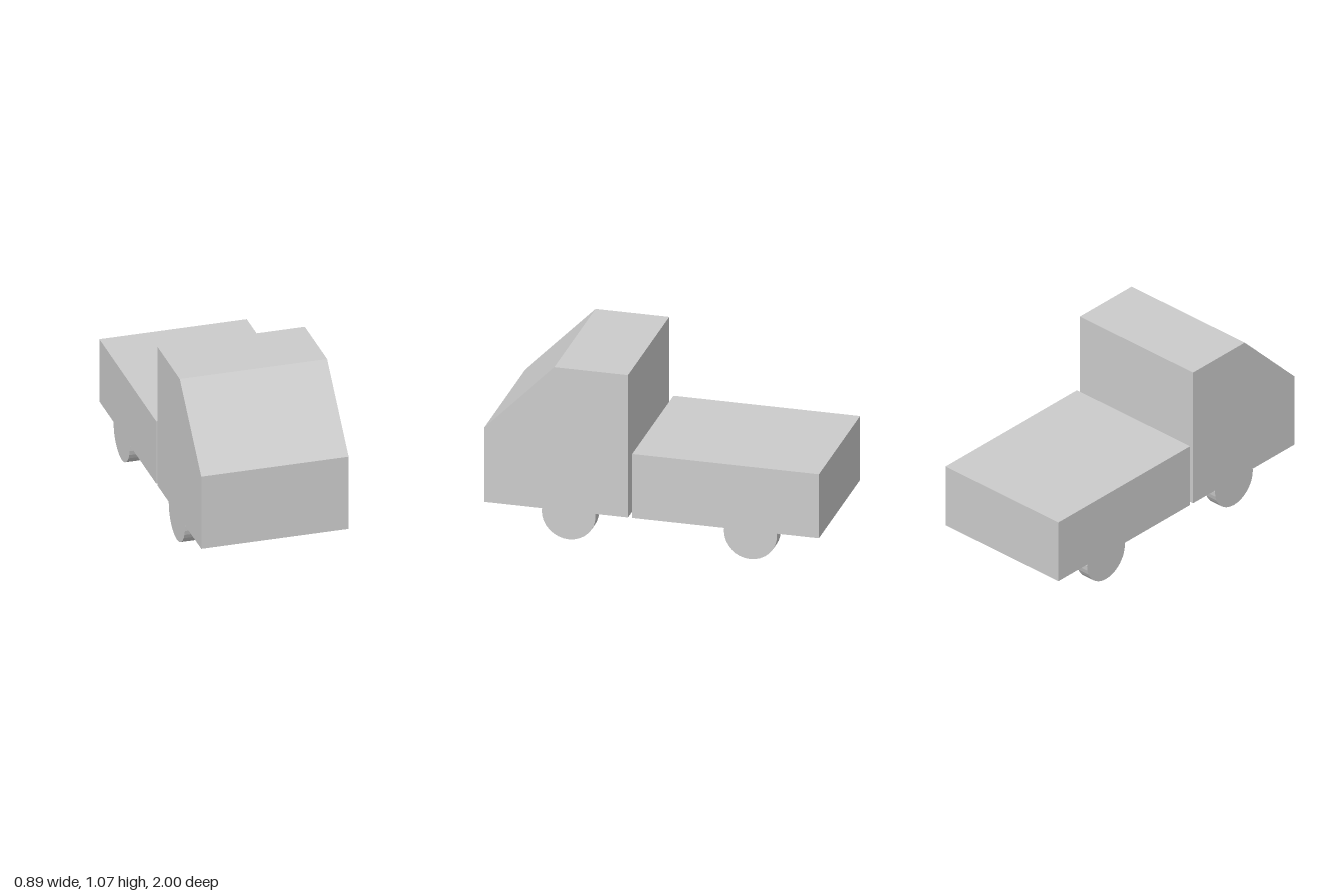
import * as THREE from 'three';

const WIDTH = 0.886;
const GROUND_CLEARANCE = 0.18;

export function createModel() {
  const truck = new THREE.Group();
  truck.name = 'truck';
  const material = new THREE.MeshStandardMaterial({ color: 0xcccccc, flatShading: true });

  const add = (name, geometry, x = 0, y = 0, z = 0) => {
    const mesh = new THREE.Mesh(geometry, material);
    mesh.name = name;
    mesh.position.set(x, y, z);
    truck.add(mesh);
  };

  // Cab: side profile (z, y) with a sloping windscreen, extruded across the width
  const profile = new THREE.Shape([
    [0.14, GROUND_CLEARANCE], [1, GROUND_CLEARANCE], [1, 0.643], [0.578, 1.07], [0.14, 1.07],
  ].map(([z, y]) => new THREE.Vector2(z, y)));
  const cab = new THREE.ExtrudeGeometry(profile, { depth: WIDTH, bevelEnabled: false });
  cab.translate(0, 0, -WIDTH / 2).rotateY(-Math.PI / 2);
  add('cab', cab);

  // Cargo bed: a plain box, separated from the cab by a narrow gap
  const bedHeight = 0.4, bedLength = 1.115;
  add('cargoBed', new THREE.BoxGeometry(WIDTH, bedHeight, bedLength),
    0, GROUND_CLEARANCE + bedHeight / 2, -1 + bedLength / 2);

  // Wheels: upper halves sit inside the bodies
  const radius = 0.16;
  const wheel = new THREE.CylinderGeometry(radius, radius, 0.08, 32).rotateZ(Math.PI / 2);
  for (const [end, z] of [['front', 0.495], ['rear', -0.588]]) {
    for (const [side, sign] of [['Left', 1], ['Right', -1]]) {
      add(`${end}${side}Wheel`, wheel, sign * 0.395, radius, z);
    }
  }

  return truck;
}
